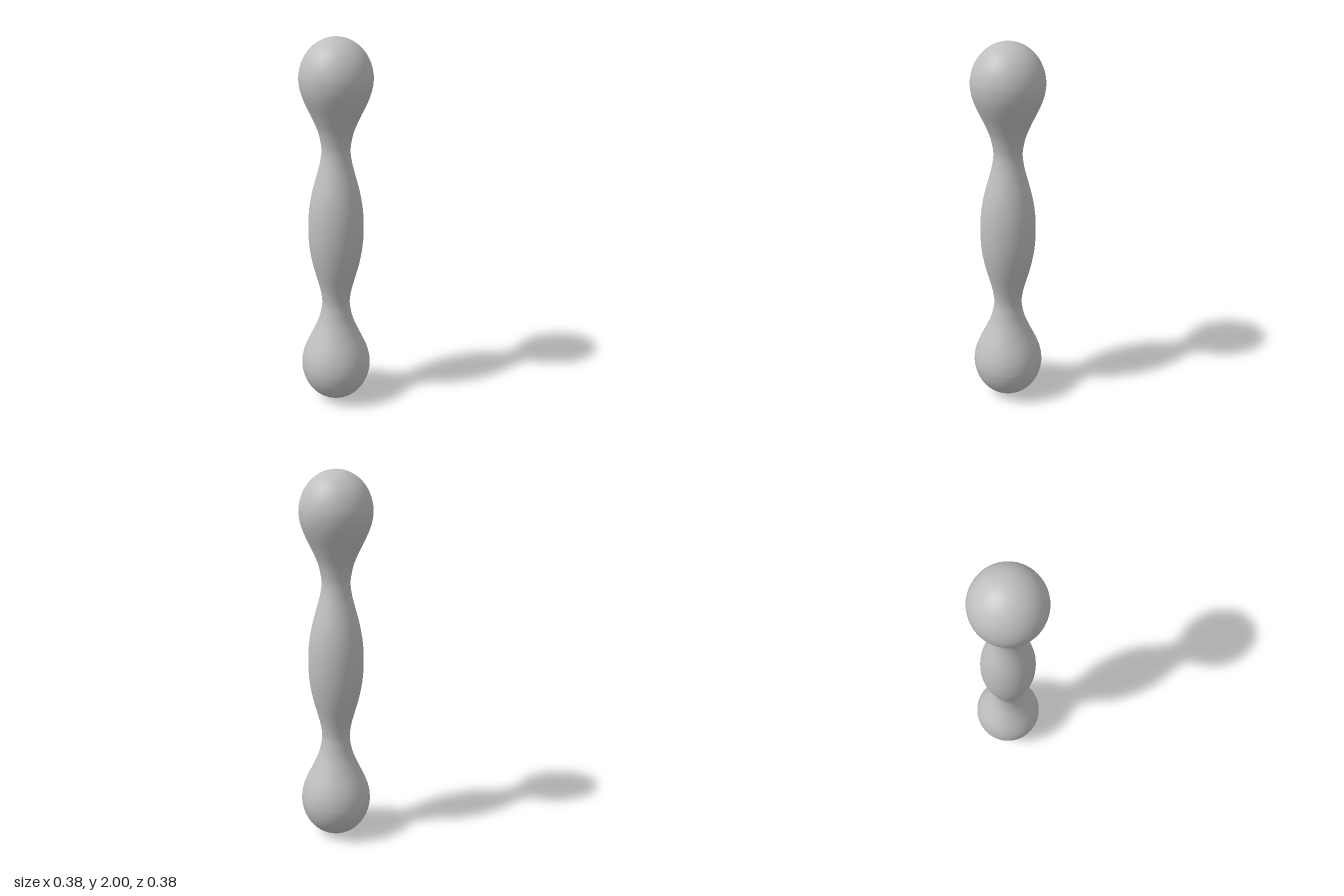
import * as THREE from 'three';

export function createModel() {
  const group = new THREE.Group();
  group.name = 'threeLobedBar';
  const grey = new THREE.MeshStandardMaterial({ color: 0xbfbfbf });
  grey.name = 'plain grey';

  // Upper half of the outline as [radius, height above the middle]
  const half = [
    [0.147, 0], [0.142, 0.1], [0.125, 0.2], [0.098, 0.3], [0.083, 0.36], [0.075, 0.42],
    [0.08, 0.47], [0.095, 0.53], [0.125, 0.6], [0.163, 0.68], [0.183, 0.74],
  ];
  // Rounded end: a quarter ellipse
  const capSteps = 10;
  for (let i = 0; i <= capSteps; i++) {
    const a = (i / capSteps) * Math.PI / 2;
    half.push([0.189 * Math.cos(a), 0.79 + 0.21 * Math.sin(a)]);
  }

  // Mirror the outline about the middle, from bottom to top
  const lower = half.slice(1).reverse().map(([r, y]) => new THREE.Vector2(r, 1 - y));
  const upper = half.map(([r, y]) => new THREE.Vector2(r, 1 + y));
  const outline = new THREE.SplineCurve([...lower, ...upper]).getPoints(160);
  outline.forEach((p) => { p.x = Math.max(p.x, 0); });
  outline[0].set(0, 0);
  outline[outline.length - 1].set(0, 2);

  // Smooth turned body: two bulbs, two necks and a swollen middle
  const body = new THREE.Mesh(new THREE.LatheGeometry(outline, 64), grey);
  body.name = 'body';
  group.add(body);
  return group;
}
